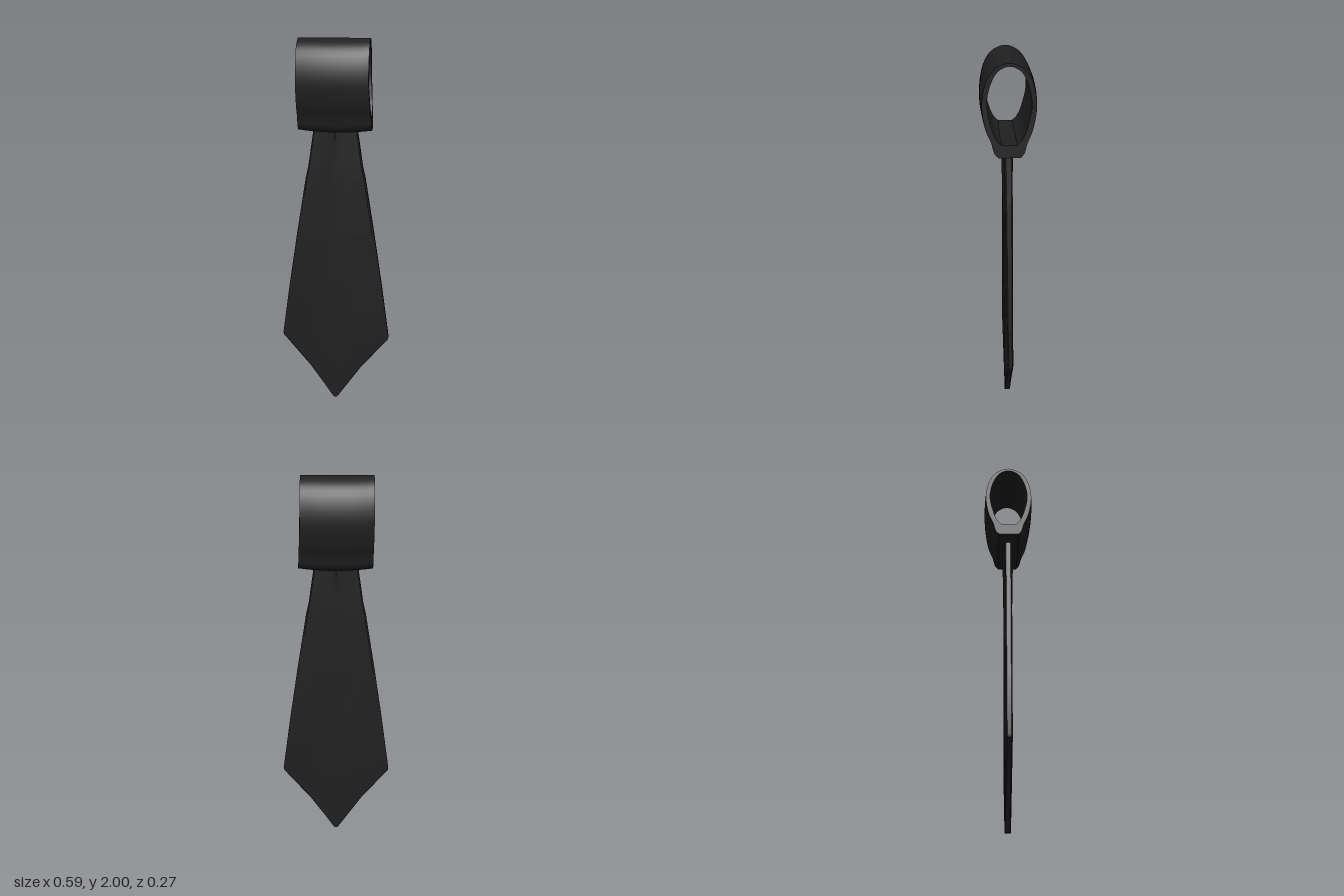
import * as THREE from 'three';
import { toCreasedNormals } from 'three/addons/utils/BufferGeometryUtils.js';

// Smooth outline through half of a symmetric profile, mirrored to the other side
function mirroredOutline(half) {
  const mirror = half.slice(0, -1).reverse().map(([x, y]) => [-x, y]);
  const points = [...half, ...mirror].map(([x, y]) => new THREE.Vector2(x, y));
  return new THREE.SplineCurve(points).getPoints(56);
}

// Collar loop: egg-shaped band running along x, slightly barrelled
function loopGeometry() {
  const shape = new THREE.Shape(mirroredOutline([
    [0.055, 1.545], [0.076, 1.57], [0.09, 1.62], [0.118, 1.69], [0.135, 1.8],
    [0.119, 1.9], [0.075, 1.97], [0, 2],
  ]));
  shape.holes.push(new THREE.Path(mirroredOutline([
    [0.038, 1.61], [0.066, 1.64], [0.09, 1.7], [0.11, 1.8], [0.096, 1.89],
    [0.058, 1.96], [0, 1.985],
  ])));
  const geo = new THREE.ExtrudeGeometry(shape, { depth: 2, steps: 10, bevelEnabled: false });
  geo.translate(0, 0, -1).rotateY(Math.PI / 2);
  const p = geo.attributes.position;
  for (let i = 0; i < p.count; i++) {
    const t = p.getX(i), y = p.getY(i), z = p.getZ(i);
    const low = Math.max(0, (1.8 - y) / 0.25);
    // the left end leans outward toward the bottom
    const end = t > 0 ? 0.171 + 0.016 * low : 0.184;
    p.setXYZ(i, t * end, y + 0.012 * low * t * t, z * (1 - 0.06 * t * t));
  }
  return toCreasedNormals(geo, 0.6);
}

// Hanging blade: stacked cross-sections with a soft central fold near the knot
function bladeGeometry() {
  // y, half width, edge half depth, centre half depth
  const rows = [
    [0.002, 0.008, 0.012, 0.014], [0.02, 0.022, 0.013, 0.016], [0.2, 0.143, 0.014, 0.018],
    [0.385, 0.293, 0.014, 0.018], [0.4, 0.295, 0.014, 0.018], [0.7, 0.252, 0.015, 0.019],
    [1, 0.205, 0.016, 0.021], [1.3, 0.155, 0.017, 0.026], [1.36, 0.141, 0.017, 0.027],
    [1.58, 0.108, 0.018, 0.031],
  ];
  const front = [1, 0.95, 0.2, 0, -0.2, -0.95, -1];
  const n = front.length * 2, positions = [], index = [];
  for (const [y, w, edge, mid] of rows) {
    for (const side of [1, -1]) {
      for (const f of front) {
        const a = Math.abs(f);
        const depth = a === 1 ? edge * 0.7 : a === 0 ? mid : a < 0.5 ? edge + 0.003 : edge + 0.002;
        positions.push(side * f * w, y, side * depth);
      }
    }
  }
  for (let r = 0; r < rows.length - 1; r++) {
    for (let i = 0; i < n; i++) {
      const a = r * n + i, b = r * n + (i + 1) % n;
      index.push(a, a + n, b, b, a + n, b + n);
    }
  }
  // caps
  const top = (rows.length - 1) * n;
  for (let i = 1; i < n - 1; i++) index.push(0, i, i + 1, top, top + i + 1, top + i);
  // the rings run from +x to -x across the front, so turn every face outward
  for (let i = 0; i < index.length; i += 3) {
    [index[i + 1], index[i + 2]] = [index[i + 2], index[i + 1]];
  }
  const geo = new THREE.BufferGeometry();
  geo.setAttribute('position', new THREE.Float32BufferAttribute(positions, 3));
  geo.setIndex(index);
  return toCreasedNormals(geo, 0.5);
}

export function createModel() {
  const fabric = new THREE.MeshStandardMaterial({ color: 0x202021, side: THREE.DoubleSide });
  fabric.name = 'black fabric';

  const group = new THREE.Group();
  group.name = 'necktie';
  const add = (name, geometry) => {
    const mesh = new THREE.Mesh(geometry, fabric);
    mesh.name = name;
    group.add(mesh);
  };
  add('collarLoop', loopGeometry());
  add('blade', bladeGeometry());
  return group;
}
